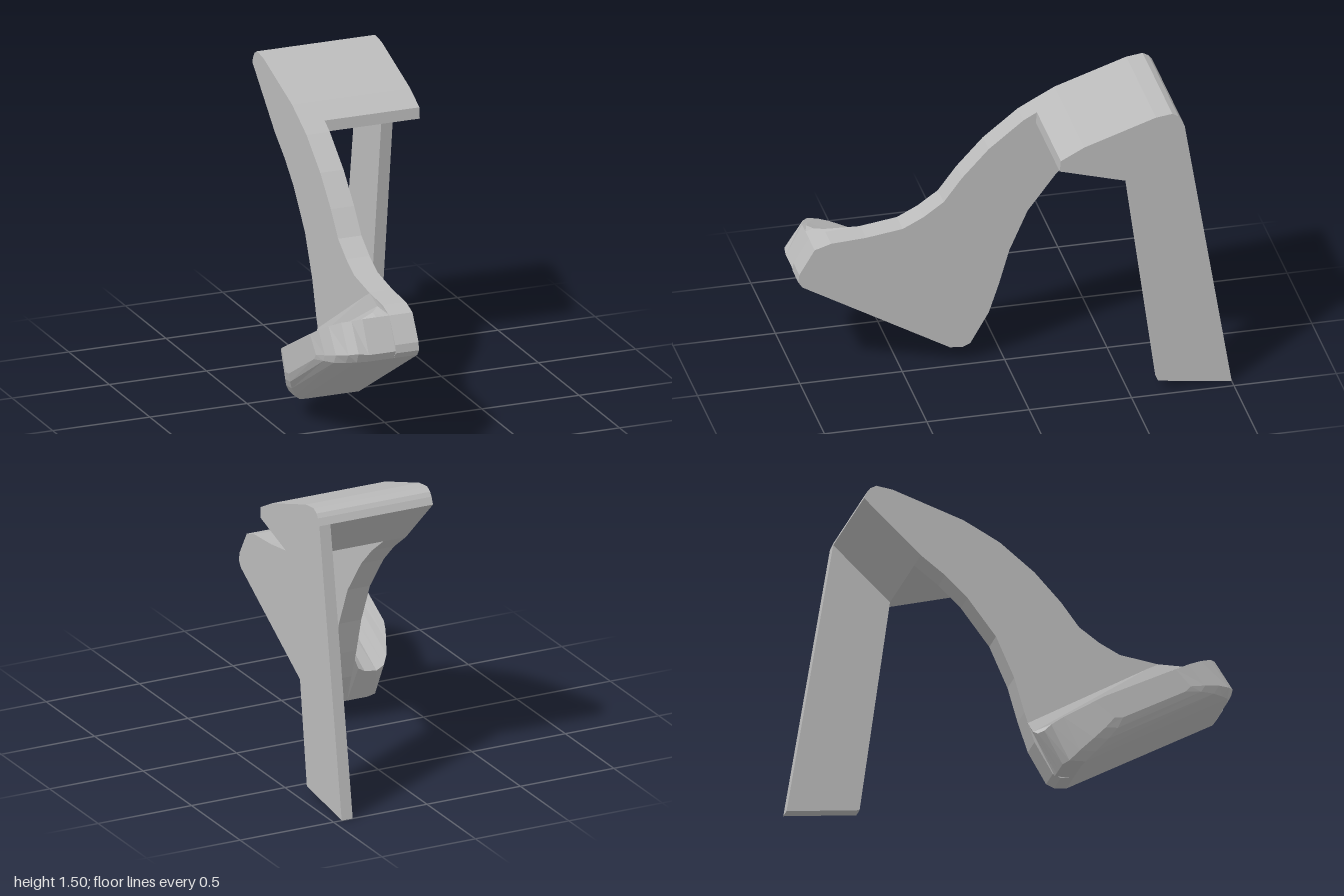
import * as THREE from 'three';

export function createModel() {
  const model = new THREE.Group();
  const grey = new THREE.MeshStandardMaterial({ color: 0xbbbbbb, flatShading: true });
  grey.name = 'grey';

  const add = (name, geometry) => {
    const mesh = new THREE.Mesh(geometry, grey);
    mesh.name = name;
    model.add(mesh);
  };

  // Plate with a side profile given as [z, y], running from x0 to x1
  const plate = (name, profile, x0, x1) => {
    const shape = new THREE.Shape(profile.map(([z, y]) => new THREE.Vector2(-z, y)));
    const geometry = new THREE.ExtrudeGeometry(shape, { depth: x1 - x0, bevelEnabled: false });
    add(name, geometry.rotateY(Math.PI / 2).translate(x0, 0, 0));
  };

  // Rounded top line shared by the arm and the bridge
  const crown = [[-0.165, 1.31], [-0.28, 1.37], [-0.63, 1.487], [-0.71, 1.497],
    [-0.74, 1.48], [-0.755, 1.46], [-0.77, 1.425], [-0.49, 1.16]];

  // Curved arm, from the foot up to the crown
  plate('arm', [
    [0.26, 0.085], [0.98, 0.505], [1, 0.535], [0.995, 0.575], [0.92, 0.7], [0.84, 0.725],
    [0.67, 0.735], [0.49, 0.76], [0.39, 0.81], [0.29, 0.88], [0.2, 1], [0.07, 1.14], [-0.1, 1.275],
    ...crown,
    [-0.37, 1.07], [-0.26, 0.965], [-0.12, 0.78], [-0.03, 0.575], [0.02, 0.4], [0.07, 0.25],
    [0.16, 0.095], [0.2, 0.078],
  ], -0.152, -0.032);

  // Bridge across the top
  plate('bridge', [...crown, [-0.16, 1.255]], -0.032, 0.456);

  // Straight rear leg
  plate('leg', [[-0.77, 1.425], [-1, 0.002], [-0.64, 0.052], [-0.49, 1.16]], 0.397, 0.456);

  // Sloping foot pad: cross-sections [z, y] lofted sideways, filleted against the arm.
  // Order: bottom rear, rear low, rear top, top, front top, nose, bottom front
  const sections = [
    [-0.15, [[0.26, 0.085], [0.17, 0.085], [0.035, 0.35], [0.67, 0.735], [0.92, 0.7], [1, 0.545], [0.98, 0.505]]],
    [-0.18, [[0.26, 0.085], [0.17, 0.085], [0.055, 0.29], [0.84, 0.725], [0.92, 0.7], [1, 0.545], [0.98, 0.505]]],
    [-0.22, [[0.26, 0.085], [0.17, 0.085], [0.068, 0.265], [0.88, 0.712], [0.92, 0.7], [1, 0.545], [0.98, 0.505]]],
    [-0.29, [[0.26, 0.085], [0.17, 0.085], [0.08, 0.25], [0.9, 0.692], [0.92, 0.7], [1, 0.545], [0.98, 0.505]]],
    [-0.34, [[0.27, 0.09], [0.19, 0.085], [0.1, 0.262], [0.88, 0.68], [0.905, 0.692], [0.995, 0.555], [0.97, 0.505]]],
    [-0.38, [[0.31, 0.13], [0.23, 0.125], [0.15, 0.29], [0.85, 0.665], [0.875, 0.68], [0.965, 0.545], [0.93, 0.495]]],
    [-0.42, [[0.36, 0.185], [0.29, 0.18], [0.23, 0.33], [0.79, 0.634], [0.815, 0.648], [0.905, 0.53], [0.88, 0.485]]],
    [-0.445, [[0.4, 0.235], [0.34, 0.23], [0.285, 0.36], [0.73, 0.6], [0.75, 0.612], [0.83, 0.51], [0.81, 0.475]]],
    [-0.46, [[0.42, 0.285], [0.38, 0.28], [0.33, 0.385], [0.66, 0.56], [0.68, 0.57], [0.755, 0.49], [0.73, 0.46]]],
  ];
  const count = sections[0][1].length;
  const positions = sections.flatMap(([x, ring]) => ring.flatMap(([z, y]) => [x, y, z]));
  const index = [];
  for (let s = 0; s < sections.length - 1; s++) {
    for (let i = 0; i < count; i++) {
      const p = s * count + i, q = s * count + (i + 1) % count;
      index.push(p, p + count, q, q, p + count, q + count);
    }
  }
  const last = (sections.length - 1) * count;
  for (let i = 1; i < count - 1; i++) index.push(last, last + i + 1, last + i);
  const loft = new THREE.BufferGeometry();
  loft.setAttribute('position', new THREE.Float32BufferAttribute(positions, 3));
  loft.setIndex(index);
  const pad = loft.toNonIndexed();
  pad.computeVertexNormals();
  add('footPad', pad);

  return model;
}
